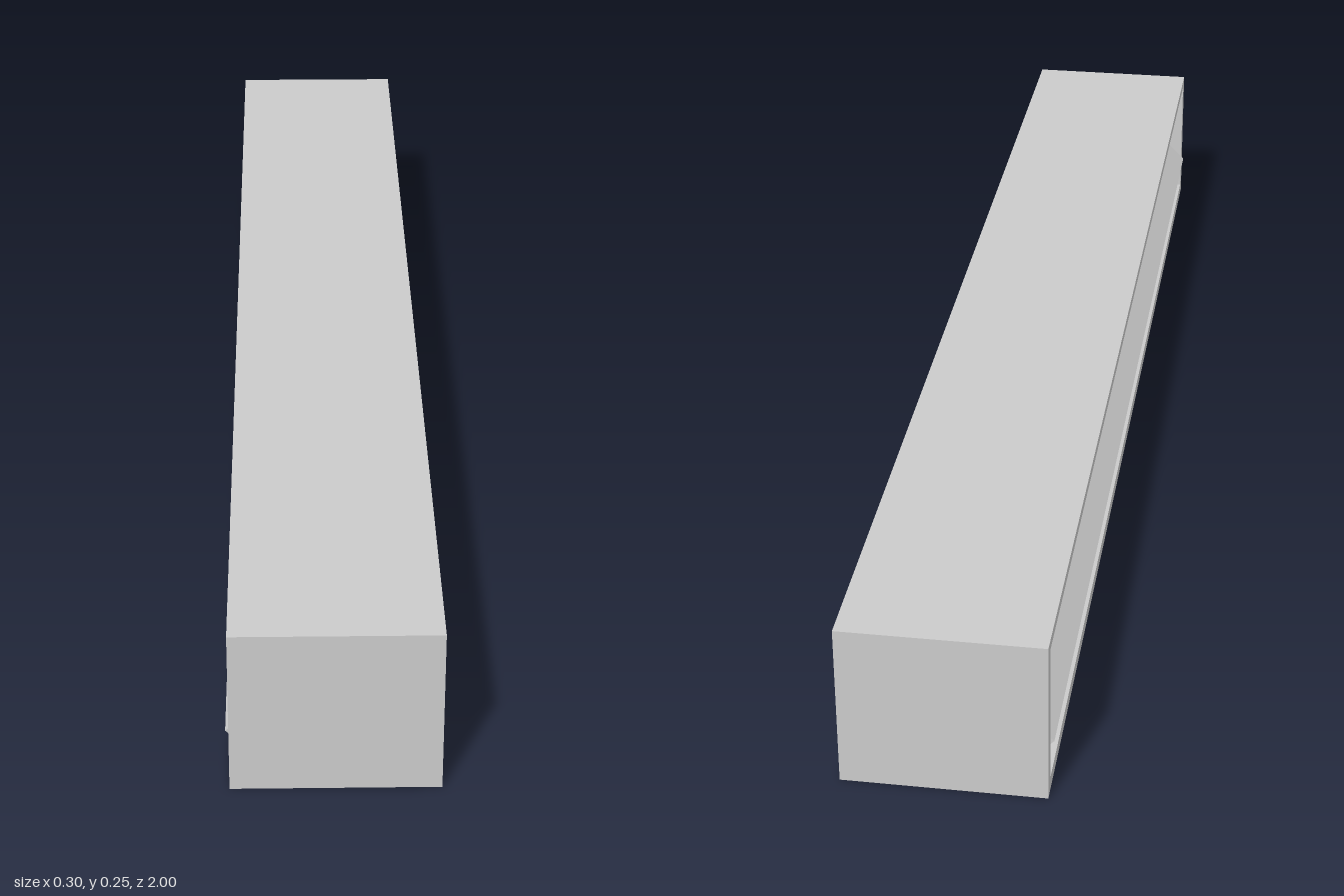
import * as THREE from 'three';

const material = new THREE.MeshStandardMaterial({ color: 0xcccccc, flatShading: true });

// Main dimensions
const H = 0.252, BACK = -0.145, LIP = 0.133, FRONT = 0.148, INNER = 0.978;

// Extrude an x-y cross-section along z, centred on z = 0
function profile(name, points, length) {
  const shape = new THREE.Shape(points.map(([x, y]) => new THREE.Vector2(x, y)));
  const geometry = new THREE.ExtrudeGeometry(shape, { depth: length, bevelEnabled: false });
  geometry.translate(0, 0, -length / 2);
  const mesh = new THREE.Mesh(geometry, material);
  mesh.name = name;
  return mesh;
}

export function createModel() {
  const group = new THREE.Group();
  group.name = 'slottedHousing';

  // Floor: level on one side, falling away towards the slot
  group.add(profile('floor', [
    [BACK, 0], [LIP, 0], [LIP, 0.04], [0, 0.04], [BACK, 0.02],
  ], INNER * 2));

  // Roof: thin above the flap, thicker inside
  group.add(profile('roof', [
    [BACK, 0.237], [0, 0.237], [0, 0.224], [LIP, 0.224], [LIP, H], [BACK, H],
  ], INNER * 2));

  // Sloping flap with a square lower edge just outside the slot
  const t = 0.007, tipX = -0.15, tipY = 0.081, run = 0.157;
  group.add(profile('slopingFlap', [
    [tipX, tipY], [tipX + t, tipY - t], [tipX + run, tipY + run - 2 * t], [tipX + run, tipY + run],
  ], INNER * 2 - 0.004));

  // End walls
  for (const side of [-1, 1]) {
    const wall = profile('endWall', [[BACK, 0], [LIP, 0], [LIP, H], [BACK, H]], 1 - INNER);
    wall.position.z = side * (1 + INNER) / 2;
    group.add(wall);
  }

  // Raised rim around the large opening, leaving a shallow rebate
  const rim = 0.012;
  const outline = new THREE.Shape([
    new THREE.Vector2(-1, 0), new THREE.Vector2(1, 0),
    new THREE.Vector2(1, H), new THREE.Vector2(-1, H),
  ]);
  outline.holes.push(new THREE.Path([
    new THREE.Vector2(-1 + rim, rim), new THREE.Vector2(-1 + rim, H - rim),
    new THREE.Vector2(1 - rim, H - rim), new THREE.Vector2(1 - rim, rim),
  ]));
  const rimGeometry = new THREE.ExtrudeGeometry(outline, { depth: FRONT - LIP, bevelEnabled: false });
  rimGeometry.rotateY(Math.PI / 2).translate(LIP, 0, 0);
  const openingRim = new THREE.Mesh(rimGeometry, material);
  openingRim.name = 'openingRim';
  group.add(openingRim);

  return group;
}
